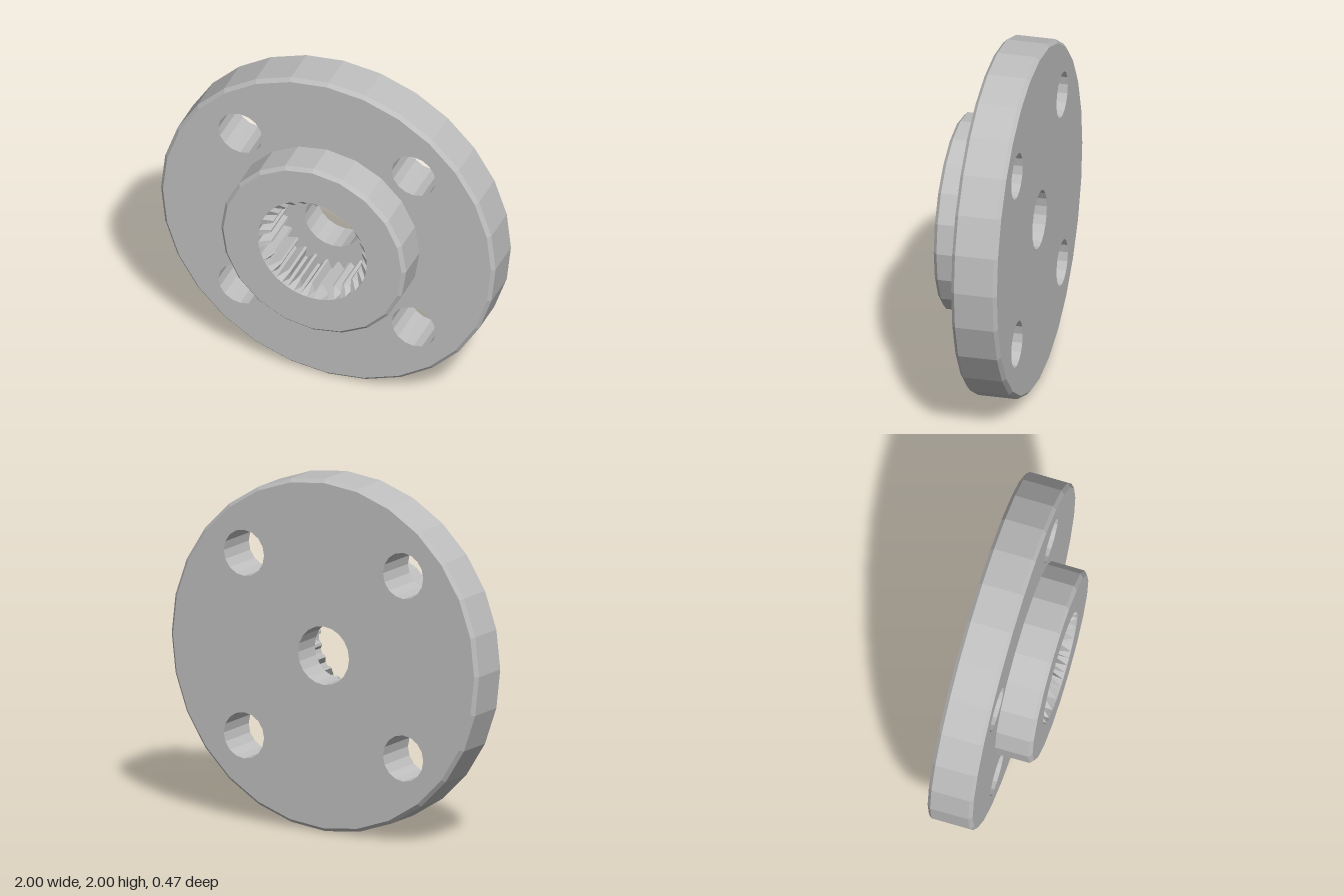
import * as THREE from 'three';

// Counter-clockwise ring of points around (cx, cy)
function circle(r, n, cx = 0, cy = 0) {
  return Array.from({ length: n }, (_, i) => {
    const a = (i / n) * Math.PI * 2;
    return new THREE.Vector2(cx + r * Math.cos(a), cy + r * Math.sin(a));
  });
}

// Ring of inward-pointing spline teeth, four points per tooth
function splineRing(root, tip, teeth) {
  const points = [];
  for (let i = 0; i < teeth; i++) {
    for (const [f, r] of [[-0.39, root], [-0.11, tip], [0.11, tip], [0.39, root]]) {
      const a = ((i + f) / teeth) * Math.PI * 2 + Math.PI / 2;
      points.push(new THREE.Vector2(r * Math.cos(a), r * Math.sin(a)));
    }
  }
  return points;
}

// Faceted wall through [points, z] rings: rising z faces outward, falling z inward
function wall(rings) {
  const pos = [];
  for (let k = 0; k + 1 < rings.length; k++) {
    const [p, z0] = rings[k];
    const [q, z1] = rings[k + 1];
    for (let i = 0; i < p.length; i++) {
      const j = (i + 1) % p.length;
      pos.push(p[i].x, p[i].y, z0, p[j].x, p[j].y, z0, q[j].x, q[j].y, z1);
      pos.push(p[i].x, p[i].y, z0, q[j].x, q[j].y, z1, q[i].x, q[i].y, z1);
    }
  }
  const geo = new THREE.BufferGeometry();
  geo.setAttribute('position', new THREE.Float32BufferAttribute(pos, 3));
  geo.computeVertexNormals();
  return geo;
}

// Flat face with holes, looking along +z, or -z when back is set
function face(outer, holes, z, back = false) {
  const shape = new THREE.Shape(outer);
  shape.holes = holes.map((h) => new THREE.Path(h));
  const geo = new THREE.ShapeGeometry(shape);
  if (back) geo.rotateY(Math.PI);
  return geo.translate(0, 0, z);
}

export function createModel() {
  const metal = new THREE.MeshStandardMaterial({ color: 0xbfbfbf });
  metal.name = 'grey metal';
  const model = new THREE.Group();
  model.name = 'splinedFlange';
  const add = (name, geo) => {
    const mesh = new THREE.Mesh(geo, metal);
    mesh.name = name;
    model.add(mesh);
  };

  const back = -0.235, front = 0.025, hubFront = 0.235, floor = -0.06, c = 0.02;
  const rim = circle(1, 28), rimInner = circle(0.98, 28);
  const hub = circle(0.553, 20), hubInner = circle(0.533, 20);
  const bore = circle(0.166, 20);
  const boltHoles = [];
  for (const x of [-0.518, 0.518]) {
    for (const y of [-0.518, 0.518]) boltHoles.push(circle(0.131, 16, x, y));
  }

  // Flange disc with chamfered rim
  add('flangeRim', wall([[rimInner, back], [rim, back + c], [rim, front - c], [rimInner, front]]));
  add('flangeFrontFace', face(rimInner, [hub, ...boltHoles], front));
  add('flangeBackFace', face(rimInner, [bore, ...boltHoles], back, true));
  for (const hole of boltHoles) add('boltHole', wall([[hole, front], [hole, back]]));

  // Raised hub
  const socketMouth = splineRing(0.325, 0.325, 25);
  const teeth = splineRing(0.325, 0.272, 25);
  add('hubSide', wall([[hub, front], [hub, hubFront - c], [hubInner, hubFront]]));
  add('hubFace', face(hubInner, [socketMouth], hubFront));

  // Toothed socket with a bevelled entry, stepping down to the through bore
  add('splineSocket', wall([[socketMouth, hubFront], [teeth, hubFront - 0.06], [teeth, floor]]));
  add('socketFloor', face(teeth, [bore], floor));
  add('throughBore', wall([[bore, floor], [bore, back]]));

  model.position.y = 1;
  return model;
}
